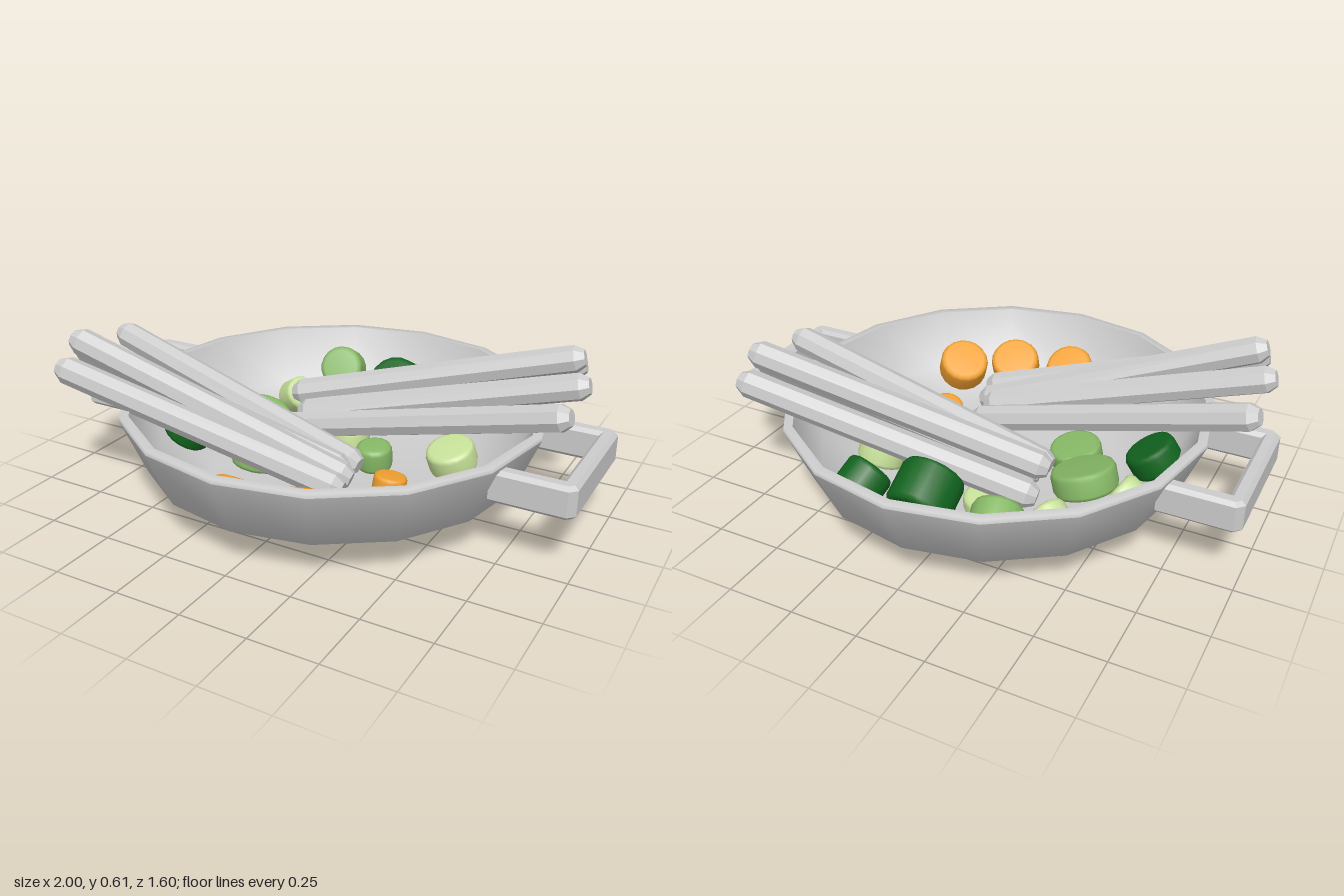
import * as THREE from 'three';

const GREY = 0xcccccc, ORANGE = 0xf0a030, GREEN = 0x86b866, PALE = 0xc8e29a, DARK = 0x12641f;
const UP = new THREE.Vector3(0, 1, 0);

function material(color, flatShading = false, side = THREE.FrontSide) {
  return new THREE.MeshStandardMaterial({ color, flatShading, side });
}

function lathe(name, profile, segments, mat) {
  const points = profile.map(([r, y]) => new THREE.Vector2(r, y));
  const mesh = new THREE.Mesh(new THREE.LatheGeometry(points, segments), mat);
  mesh.name = name;
  return mesh;
}

// Shallow sixteen-sided pan with a thin rim
function makeBowl() {
  const bowl = new THREE.Group();
  bowl.name = 'bowl';
  const mat = material(GREY);
  bowl.add(
    lathe('bowlOutside', [[0, 0.03], [0.5, 0.03], [0.71, 0.15], [0.8, 0.365]], 16, mat),
    lathe('bowlRim', [[0.8, 0.365], [0.797, 0.38], [0.765, 0.38]], 16, mat),
    lathe('bowlInside', [[0.765, 0.38], [0.68, 0.165], [0.48, 0.06], [0, 0.06]], 16, mat)
  );
  return bowl;
}

// U-shaped loop handle lying flat, with softened edges
function makeHandle(side) {
  const b = 0.014;
  const outline = [
    [0.71, -0.26], [0.975, -0.26], [1, -0.235], [1, 0.235], [0.975, 0.26], [0.71, 0.26],
    [0.71, 0.2], [0.94, 0.2], [0.94, -0.2], [0.71, -0.2]
  ];
  const shape = new THREE.Shape(outline.map(([x, z]) => new THREE.Vector2(x, z)));
  const geo = new THREE.ExtrudeGeometry(shape, {
    depth: 0.12 - 2 * b, bevelEnabled: true, bevelSize: b, bevelThickness: b, bevelOffset: -b, bevelSegments: 1
  });
  geo.rotateX(-Math.PI / 2).translate(0, 0.23 + b, 0);
  if (side < 0) geo.rotateY(Math.PI);
  const handle = new THREE.Mesh(geo, material(GREY));
  handle.name = side > 0 ? 'leftHandle' : 'rightHandle';
  return handle;
}

// Faceted stick with tapered ends between two points
function makeStick(from, to) {
  const a = new THREE.Vector3(...from), b = new THREE.Vector3(...to);
  const h = a.distanceTo(b) / 2, r = 0.052;
  const stick = lathe('stick', [
    [0, -h], [r * 0.6, -h], [r, -h + 0.035], [r, h - 0.035], [r * 0.6, h], [0, h]
  ], 8, material(GREY, true));
  stick.position.copy(a).add(b).multiplyScalar(0.5);
  stick.quaternion.setFromUnitVectors(UP, b.sub(a).normalize());
  return stick;
}

// Vegetable slice: a short cylinder with rounded edges, turned to face an axis
function makeSlice(name, color, position, radius, height, axis) {
  const h = height / 2, e = Math.min(0.02, h * 0.4);
  const slice = lathe(name, [
    [0, -h], [radius - e, -h], [radius - e * 0.3, -h + e * 0.3], [radius, -h + e],
    [radius, h - e], [radius - e * 0.3, h - e * 0.3], [radius - e, h], [0, h]
  ], 18, material(color));
  slice.position.set(...position);
  slice.quaternion.setFromUnitVectors(UP, new THREE.Vector3(...axis).normalize());
  return slice;
}

export function createModel() {
  const model = new THREE.Group();
  model.name = 'panOfVegetables';
  model.add(makeBowl(), makeHandle(1), makeHandle(-1));

  // Sticks: lower end, raised end
  const sticks = new THREE.Group();
  sticks.name = 'sticks';
  [
    [[-0.3, 0.19, -0.3], [0.8, 0.48, -0.49]],
    [[-0.3, 0.25, -0.2], [0.82, 0.545, -0.385]],
    [[-0.25, 0.19, -0.16], [0.87, 0.475, -0.3]],
    [[-0.25, 0.17, -0.065], [0.88, 0.45, -0.05]],
    [[0.165, 0.17, 0.12], [-0.95, 0.49, 0.075]],
    [[0.16, 0.19, 0.21], [-0.94, 0.51, 0.335]],
    [[0.2, 0.18, 0.25], [-0.88, 0.58, 0.42]],
    [[0.22, 0.19, 0.35], [-0.87, 0.5, 0.52]]
  ].forEach(([from, to]) => sticks.add(makeStick(from, to)));
  model.add(sticks);

  // Vegetables: name, color, centre, radius, height, facing axis
  const vegetables = new THREE.Group();
  vegetables.name = 'vegetables';
  [
    ['orangeSlice', ORANGE, [0.265, 0.1, 0.07], 0.063, 0.07, [0.1, 1, -0.15]],
    ['orangeSlice', ORANGE, [0.485, 0.13, 0.1], 0.078, 0.08, [-0.3, 1, -0.1]],
    ['orangeSlice', ORANGE, [0.35, 0.11, 0.21], 0.07, 0.08, [-0.2, 1, -0.2]],
    ['orangeSlice', ORANGE, [-0.045, 0.21, 0.59], 0.098, 0.11, [0, 1, -0.75]],
    ['orangeSlice', ORANGE, [0.19, 0.21, 0.54], 0.1, 0.11, [-0.2, 1, -0.65]],
    ['orangeSlice', ORANGE, [0.385, 0.21, 0.43], 0.1, 0.11, [-0.45, 1, -0.5]],
    ['greenSlice', GREEN, [-0.27, 0.24, -0.56], 0.09, 0.13, [0.25, 0.5, 1]],
    ['greenSlice', GREEN, [-0.385, 0.16, -0.07], 0.122, 0.1, [0.3, 1, 0.1]],
    ['greenSlice', GREEN, [-0.27, 0.12, 0.13], 0.1, 0.09, [0.15, 1, -0.15]],
    ['greenSlice', GREEN, [0.12, 0.11, -0.09], 0.07, 0.1, [0, 1, 0.1]],
    ['paleSlice', PALE, [-0.39, 0.16, -0.37], 0.072, 0.12, [0.9, 0.6, 0.5]],
    ['paleSlice', PALE, [-0.58, 0.17, -0.14], 0.076, 0.12, [1, 0.6, 0.1]],
    ['paleSlice', PALE, [0.4, 0.13, -0.19], 0.095, 0.1, [-0.2, 1, 0.3]],
    ['paleSlice', PALE, [-0.08, 0.065, -0.26], 0.083, 0.11, [0, 1, -0.12]],
    ['darkSlice', DARK, [0.03, 0.23, -0.5], 0.117, 0.17, [0, 0.55, 1]],
    ['darkSlice', DARK, [0.27, 0.22, -0.53], 0.088, 0.13, [-0.3, 0.7, 1]],
    ['darkSlice', DARK, [-0.57, 0.18, 0.15], 0.1, 0.1, [0.6, 1, -0.15]]
  ].forEach((args) => vegetables.add(makeSlice(...args)));
  model.add(vegetables);
  return model;
}
